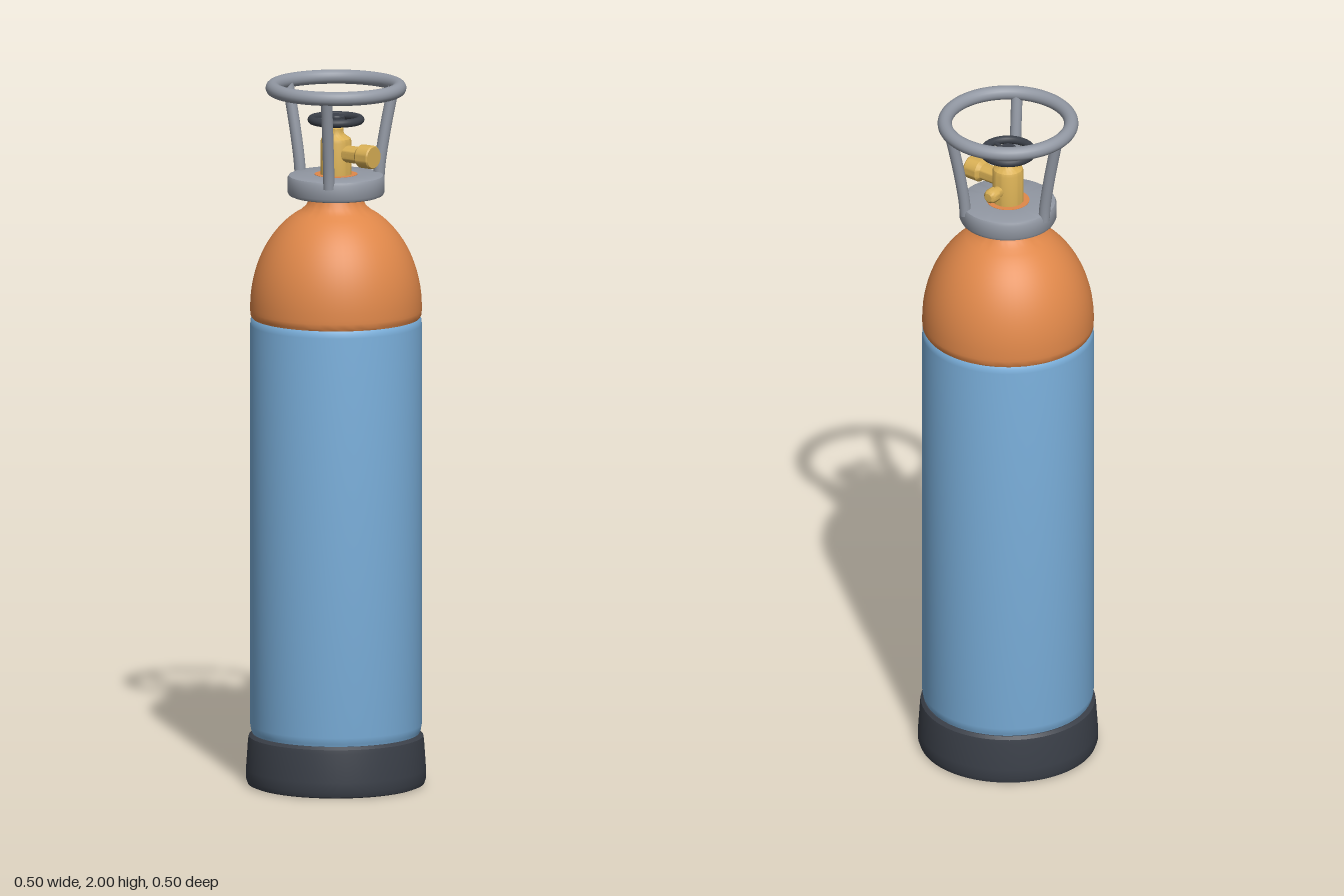
import * as THREE from 'three';
import { toCreasedNormals } from 'three/addons/utils/BufferGeometryUtils.js';

const mat = (name, color) => {
  const m = new THREE.MeshStandardMaterial({ color });
  m.name = name;
  return m;
};

export function createModel() {
  const blue = mat('blue paint', 0x7bb0dc);
  const orange = mat('orange paint', 0xe0884a);
  const steel = mat('grey steel', 0x9298a3);
  const rubber = mat('dark rubber', 0x3b4049);
  const brass = mat('brass', 0xd9b055);

  const model = new THREE.Group();
  model.name = 'gasCylinder';
  const add = (name, geo, material, parent = model) => {
    const mesh = new THREE.Mesh(geo, material);
    mesh.name = name;
    parent.add(mesh);
    return mesh;
  };
  // Turned part from [radius, height] pairs, with real edges kept sharp
  const lathe = (points, segments = 64) =>
    toCreasedNormals(new THREE.LatheGeometry(points.map(([r, y]) => new THREE.Vector2(r, y)), segments), 0.6);

  // Rubber foot, hollow underneath
  add('boot', lathe([
    [0.198, 0.14], [0.198, 0.015], [0.204, 0.007], [0.215, 0.004], [0.237, 0.004], [0.247, 0.008], [0.252, 0.022],
    [0.2515, 0.05], [0.246, 0.13], [0.244, 0.142], [0.236, 0.15], [0.198, 0.15],
  ]), rubber);

  // Tank wall with closed base
  add('tankBody', lathe([
    [0, 0.075], [0.2, 0.075], [0.225, 0.085], [0.233, 0.15], [0.237, 0.158], [0.24, 0.175],
    [0.24, 1.31], [0.239, 1.323], [0.235, 1.33], [0, 1.33],
  ]), blue);

  // Domed shoulder flowing into the neck
  const dome = [[0, 1.33], [0.235, 1.33], [0.239, 1.337], [0.24, 1.35]];
  for (let i = 0; i <= 16; i++) {
    const a = (i / 16) * 1.06;
    dome.push([0.24 * Math.cos(a), 1.36 + 0.3 * Math.sin(a)]);
  }
  dome.push([0.1, 1.632], [0.085, 1.645], [0.076, 1.66], [0.072, 1.675], [0.066, 1.69], [0.06, 1.7], [0.06, 1.736], [0, 1.736]);
  add('shoulder', lathe(dome), orange);

  // Guard: collar, three bowed legs and top ring
  const guard = new THREE.Group();
  guard.name = 'guard';
  model.add(guard);
  add('collar', lathe([
    [0.058, 1.735], [0.058, 1.675], [0.125, 1.675], [0.132, 1.678], [0.136, 1.686],
    [0.136, 1.724], [0.132, 1.732], [0.125, 1.735], [0.058, 1.735],
  ]), steel, guard);
  const legPath = new THREE.CatmullRomCurve3([
    [0.128, 1.715], [0.132, 1.76], [0.145, 1.84], [0.161, 1.92], [0.174, 1.978],
  ].map(([r, y]) => new THREE.Vector3(0, y, -r)));
  for (let i = 0; i < 3; i++) {
    add('guardLeg', new THREE.TubeGeometry(legPath, 20, 0.016, 16), steel, guard).rotation.y = i * Math.PI * 2 / 3;
  }
  const ring = add('guardRing', new THREE.TorusGeometry(0.177, 0.02, 20, 72), steel, guard);
  ring.rotation.x = Math.PI / 2;
  ring.position.y = 1.98;

  // Brass valve
  const valve = new THREE.Group();
  valve.name = 'valve';
  model.add(valve);
  add('valveBody', lathe([
    [0, 1.73], [0.044, 1.73], [0.044, 1.828], [0.041, 1.837], [0.034, 1.842], [0.025, 1.848],
    [0.021, 1.856], [0.021, 1.866], [0.012, 1.87], [0.012, 1.89], [0, 1.89],
  ], 40), brass, valve);
  const outlet = add('outlet', lathe([
    [0, 0.02], [0.024, 0.02], [0.024, 0.084], [0.033, 0.094], [0.033, 0.132], [0.03, 0.136], [0, 0.136],
  ], 32), brass, valve);
  outlet.rotation.x = Math.PI / 2;
  outlet.position.y = 1.797;
  const relief = add('reliefPlug', lathe([
    [0, 0.02], [0.016, 0.02], [0.016, 0.056], [0.021, 0.06], [0.021, 0.076], [0.018, 0.085], [0.012, 0.09], [0, 0.091],
  ], 24), brass, valve);
  relief.rotation.z = -Math.PI / 2;
  relief.position.y = 1.78;

  // Three-spoke handwheel
  const wheel = new THREE.Group();
  wheel.name = 'handwheel';
  wheel.position.y = 1.89;
  model.add(wheel);
  add('wheelRim', new THREE.TorusGeometry(0.068, 0.0115, 16, 48), rubber, wheel).rotation.x = Math.PI / 2;
  add('wheelHub', lathe([
    [0, -0.013], [0.025, -0.013], [0.025, 0.01], [0.022, 0.014], [0, 0.014],
  ], 32), rubber, wheel);
  for (let i = 0; i < 3; i++) {
    const spoke = new THREE.CylinderGeometry(0.006, 0.006, 0.068, 12);
    spoke.rotateZ(Math.PI / 2).translate(0.034, 0, 0);
    add('wheelSpoke', spoke, rubber, wheel).rotation.y = Math.PI / 12 + i * Math.PI * 2 / 3;
  }

  return model;
}
